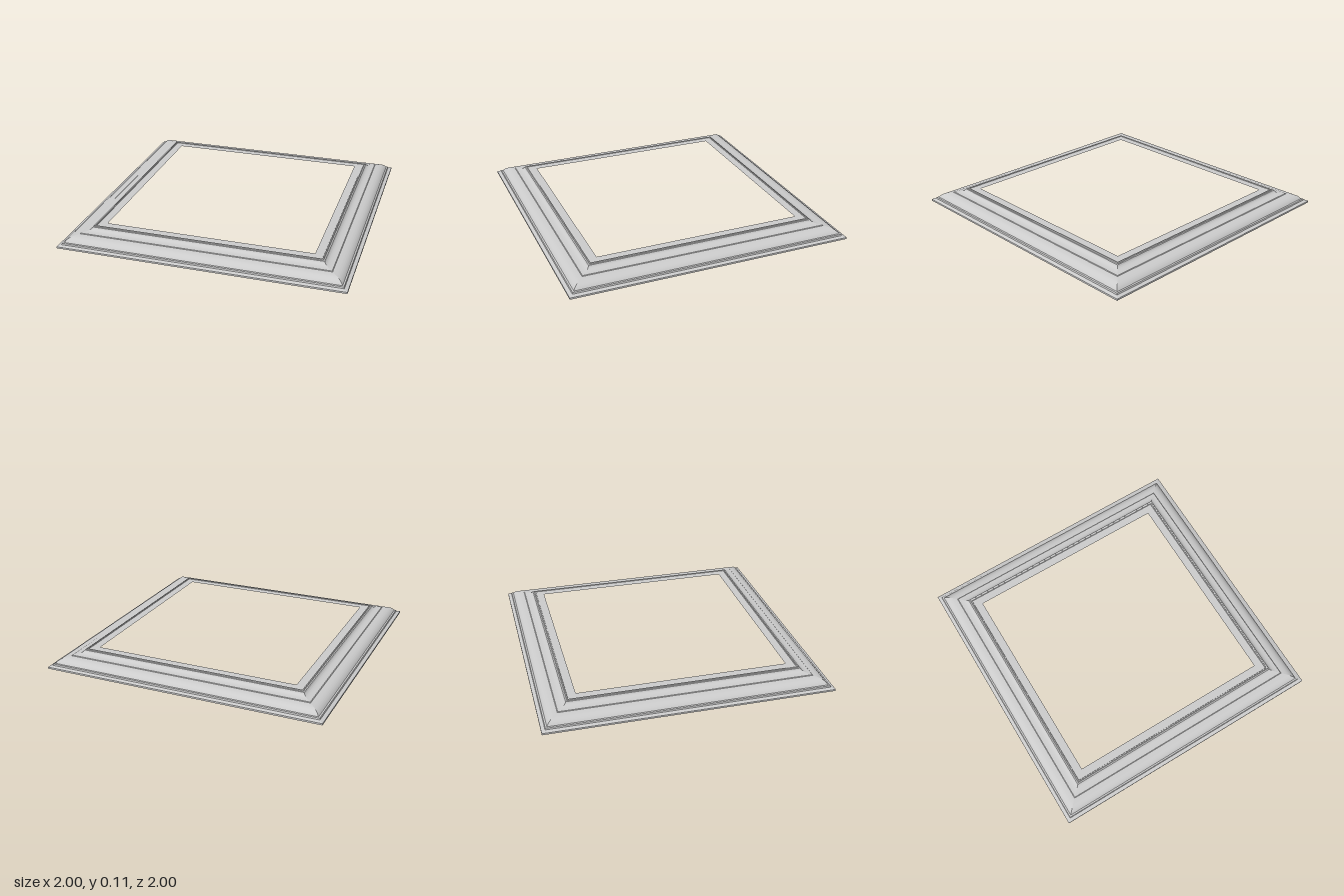
import * as THREE from 'three';
import { mergeVertices, toCreasedNormals } from 'three/addons/utils/BufferGeometryUtils.js';

// Moulding profile from the outer foot to the inner opening: [distance from centre, height]
function mouldingProfile() {
  const outline = new THREE.Path();
  outline.moveTo(1, 0);
  outline.lineTo(1, 0.012);
  outline.lineTo(0.975, 0.019); // stepped foot
  outline.lineTo(0.972, 0.029);
  outline.lineTo(0.961, 0.031);
  outline.bezierCurveTo(0.945, 0.056, 0.925, 0.067, 0.88, 0.07); // rounded shoulder
  outline.lineTo(0.876, 0.074); // small fillet
  outline.bezierCurveTo(0.84, 0.075, 0.82, 0.081, 0.814, 0.099); // cove
  outline.lineTo(0.805, 0.1);
  outline.lineTo(0.802, 0.106); // raised rim
  outline.lineTo(0.795, 0.106);
  outline.lineTo(0.793, 0.101);
  outline.lineTo(0.735, 0.101); // flat inner lip
  return outline.getPoints(16);
}

// One mitred rail on the +z side
function railGeometry(profile) {
  const positions = [];
  const indices = [];
  profile.forEach((p, i) => {
    positions.push(-p.x, p.y, p.x, p.x, p.y, p.x);
    if (i > 0) {
      const a = 2 * (i - 1);
      indices.push(a, a + 1, a + 3, a, a + 3, a + 2);
    }
  });
  const geometry = new THREE.BufferGeometry();
  geometry.setAttribute('position', new THREE.Float32BufferAttribute(positions, 3));
  geometry.setIndex(indices);
  return toCreasedNormals(mergeVertices(geometry), 0.35);
}

export function createModel() {
  const model = new THREE.Group();
  model.name = 'squareFrame';
  const material = new THREE.MeshStandardMaterial({ color: 0xcccccc, side: THREE.DoubleSide });
  const geometry = railGeometry(mouldingProfile());

  // Four identical rails meeting at the mitred corners
  ['frontRail', 'leftRail', 'backRail', 'rightRail'].forEach((name, i) => {
    const rail = new THREE.Mesh(geometry, material);
    rail.name = name;
    rail.rotation.y = (i * Math.PI) / 2;
    model.add(rail);
  });
  return model;
}
